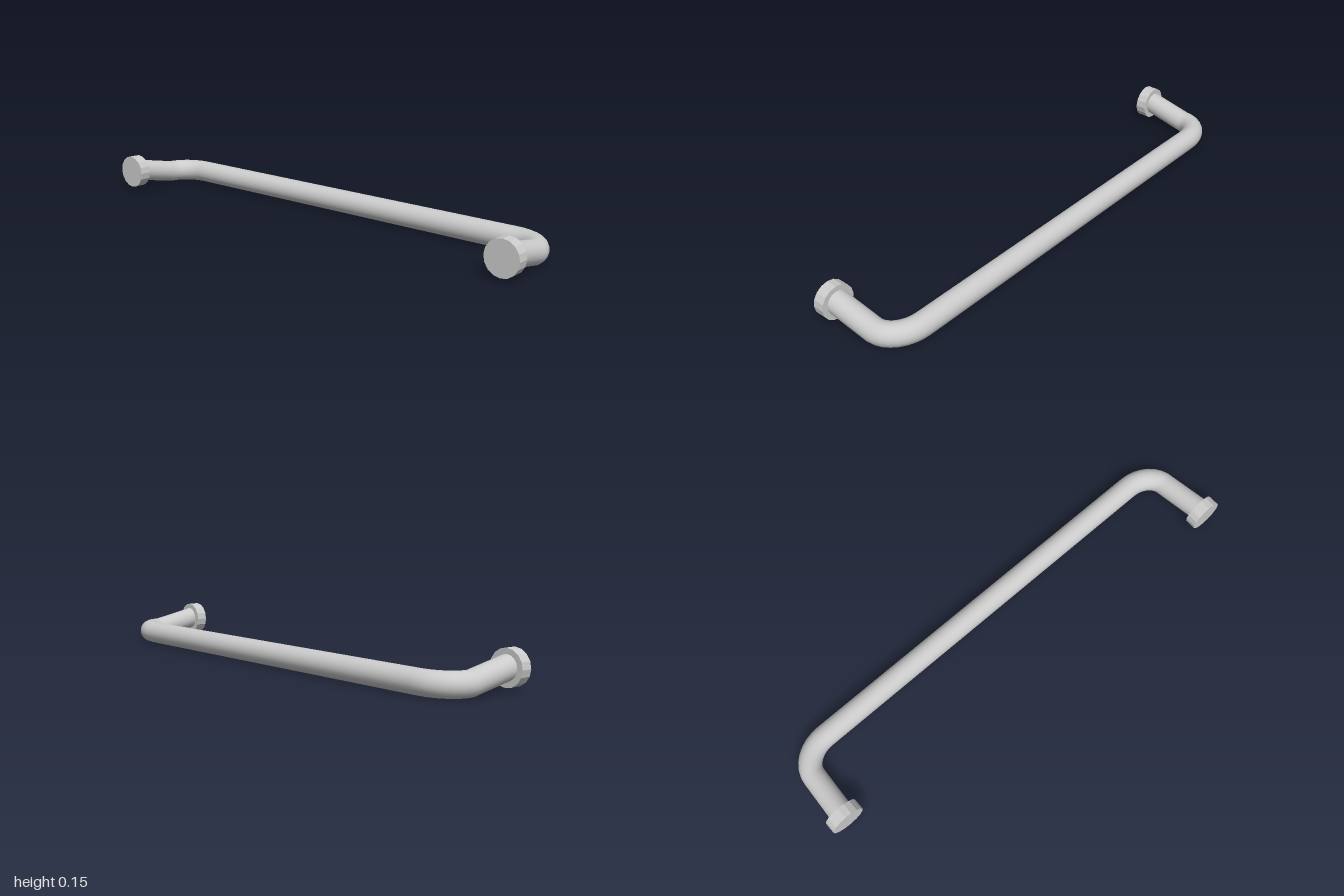
import * as THREE from 'three';

// Path that puts one tube ring on each given point, keeping the kinks crisp
class PolylineCurve extends THREE.Curve {
  constructor(points) {
    super();
    this.points = points;
  }
  index(t) {
    return Math.round(t * (this.points.length - 1));
  }
  getPointAt(t, target = new THREE.Vector3()) {
    return target.copy(this.points[this.index(t)]);
  }
  getTangentAt(t, target = new THREE.Vector3()) {
    const p = this.points, i = this.index(t);
    const here = p[i];
    const before = p[Math.max(i - 1, 0)], after = p[Math.min(i + 1, p.length - 1)];
    const a = here.clone().sub(before).normalize();
    const b = after.clone().sub(here).normalize();
    return target.copy(a).add(b).normalize();
  }
}

export function createModel() {
  const group = new THREE.Group();
  group.name = 'grabHandle';
  const material = new THREE.MeshStandardMaterial({ color: 0xcccccc });
  const flatMaterial = new THREE.MeshStandardMaterial({ color: 0xcccccc, flatShading: true });

  const radius = 0.045, barX = 0.135, barY = 0.0455;
  const flangeY = 0.0785, flangeZ = 0.9325;

  // Half of the centre line: leg out of the flange, then the rounded corner
  const half = [new THREE.Vector3(-0.16, 0.084, 0.934)];
  const steps = 8;
  for (let i = 0; i <= steps; i++) {
    const a = (i / steps) * Math.PI / 2;
    half.push(new THREE.Vector3(0.035 + (barX - 0.035) * Math.sin(a), barY, 0.8 + 0.126 * Math.cos(a)));
  }
  const mirrored = half.map(p => new THREE.Vector3(p.x, p.y, -p.z)).reverse();
  const path = [...half, ...mirrored];

  // Bent bar
  const bar = new THREE.Mesh(
    new THREE.TubeGeometry(new PolylineCurve(path), path.length - 1, radius, 24), material);
  bar.name = 'bar';
  group.add(bar);

  // Mounting flanges at both ends
  for (const [side, name] of [[1, 'frontFlange'], [-1, 'backFlange']]) {
    const flange = new THREE.Mesh(new THREE.CylinderGeometry(0.0675, 0.0675, 0.045, 16), flatMaterial);
    flange.name = name;
    flange.rotation.z = Math.PI / 2;
    flange.position.set(-0.1595, flangeY, side * flangeZ);
    group.add(flange);
  }
  return group;
}
